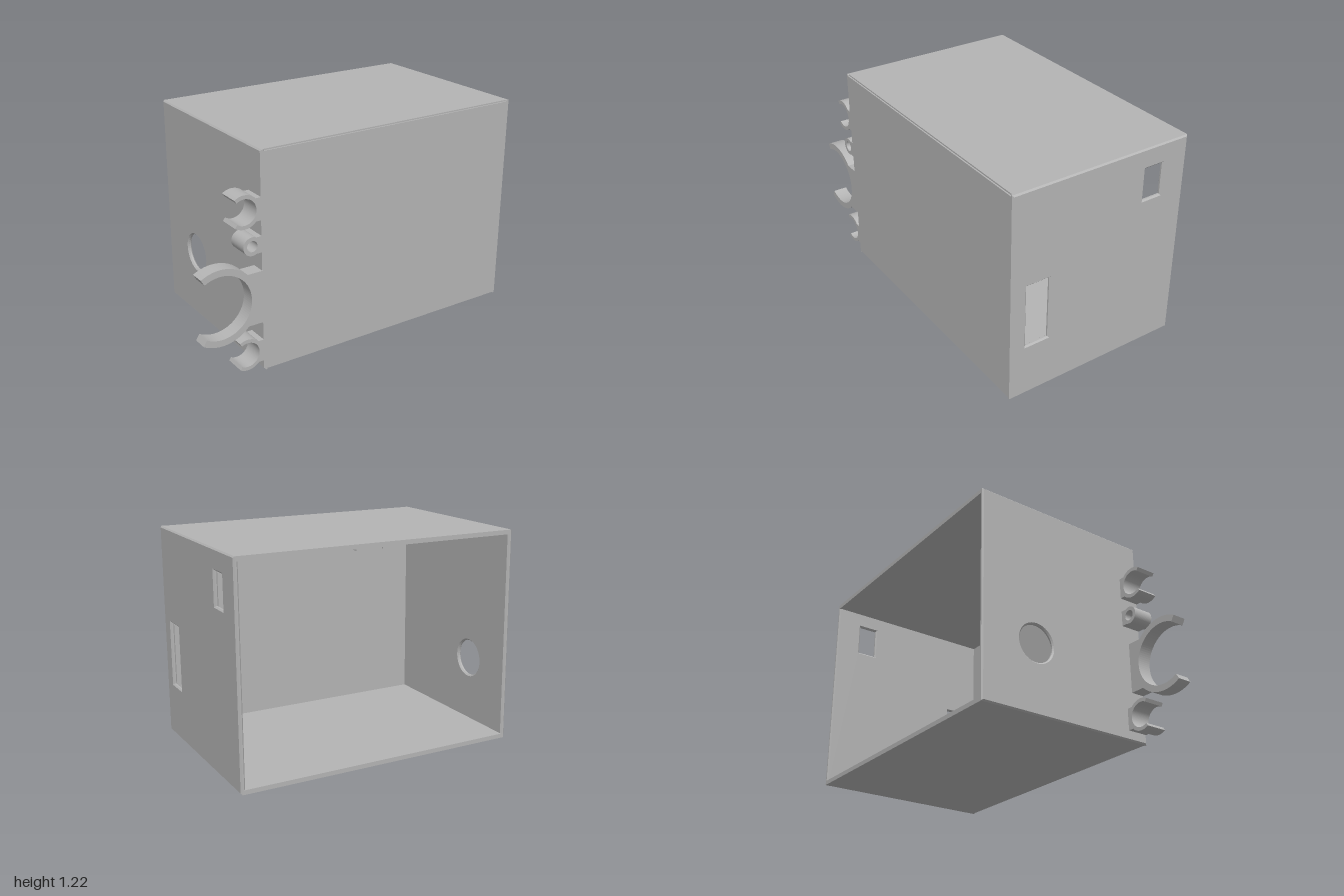
import * as THREE from 'three';

const X0 = -0.655, X1 = 1, H = 1.224, Z = 0.543, T = 0.025, B = 0.008;

export function createModel() {
  const model = new THREE.Group();
  model.name = 'wallBox';
  const grey = new THREE.MeshStandardMaterial({ color: 0xb4b4b4 });
  grey.name = 'grey plastic';

  const add = (name, geometry) => {
    const mesh = new THREE.Mesh(geometry, grey);
    mesh.name = name;
    model.add(mesh);
    return mesh;
  };
  // box given by its lower and upper limits
  const block = (name, x0, x1, y0, y1, z0, z1) =>
    add(name, new THREE.BoxGeometry(x1 - x0, y1 - y0, z1 - z0))
      .position.set((x0 + x1) / 2, (y0 + y1) / 2, (z0 + z1) / 2);

  const rect = (path, x0, x1, y0, y1) => {
    path.moveTo(x0, y0); path.lineTo(x1, y0); path.lineTo(x1, y1); path.lineTo(x0, y1);
    path.closePath();
    return path;
  };

  // side walls: profile drawn with u = -z, chamfered round the rim and the openings
  const sideWall = (name, x, holes) => {
    const shape = rect(new THREE.Shape(), -Z, Z, 0, H);
    shape.holes.push(...holes);
    const geo = new THREE.ExtrudeGeometry(shape, {
      depth: T - 2 * B, bevelThickness: B, bevelSize: B, bevelOffset: -B, bevelSegments: 1, curveSegments: 24,
    });
    geo.rotateY(Math.PI / 2);
    geo.translate(x + B, 0, 0);
    add(name, geo);
  };
  sideWall('windowWall', X1 - T, [
    rect(new THREE.Path(), -0.45, -0.31, 0.31, 0.68),
    rect(new THREE.Path(), 0.27, 0.385, 0.925, 1.11),
  ]);
  const round = new THREE.Path();
  round.absarc(0.2, 0.4, 0.107, 0, Math.PI * 2, true);
  sideWall('cableWall', X0, [round]);

  // closed front, top and floor; the back stays open
  block('frontWall', X0 + B, X1 - B, B, H - B, Z - T, Z);
  block('topWall', X0 + B, X1 - B, H - T, H, -Z, Z - B);
  block('floor', X0 + B, X1 - B, 0, T, -Z, Z - B);

  // clips on the -x side: open ring with a neck running into the wall
  const extrude = (name, shape, z0, z1) => {
    const geo = new THREE.ExtrudeGeometry(shape, { depth: z1 - z0, bevelEnabled: false, curveSegments: 32 });
    geo.translate(0, 0, z0);
    add(name, geo);
  };
  const clip = (name, cx, cy, r, R, angle, neck, z0) => {
    const a = Math.asin(neck / R), s = new THREE.Shape();
    s.absarc(cx, cy, R, -angle, -a, false);
    s.lineTo(X0 + 0.01, cy - neck);
    s.lineTo(X0 + 0.01, cy + neck);
    s.absarc(cx, cy, R, a, angle, false);
    s.absarc(cx, cy, r, angle, -angle, true);
    s.closePath();
    extrude(name, s, z0, 0.538);
  };
  clip('upperClip', -0.752, 0.917, 0.07, 0.091, 2.2, 0.062, 0.415);
  clip('lowerClip', -0.752, 0.118, 0.07, 0.09, 2.1, 0.062, 0.415);
  clip('largeClip', -0.897, 0.43, 0.177, 0.214, 2.1, 0.147, 0.455);

  // small closed ring between the clips
  const ring = new THREE.Shape(), ra = Math.asin(0.045 / 0.051);
  ring.absarc(-0.711, 0.725, 0.051, ra, Math.PI * 2 - ra, false);
  ring.lineTo(X0 + 0.01, 0.68);
  ring.lineTo(X0 + 0.01, 0.77);
  ring.closePath();
  const bore = new THREE.Path();
  bore.absarc(-0.711, 0.725, 0.03, 0, Math.PI * 2, true);
  ring.holes.push(bore);
  extrude('smallRing', ring, 0.415, 0.538);

  // holders on the inside of the front wall
  const zi = Z - T + 0.005;
  block('upperHolder', -0.07, -0.05, 1.09, 1.17, zi - 0.15, zi);
  block('upperHolderFoot', -0.12, -0.05, 1.09, 1.11, zi - 0.08, zi);
  block('rail', -0.12, -0.1, 1.03, 1.05, zi - 0.29, zi);
  block('shelf', -0.44, -0.31, 1.04, 1.06, zi - 0.25, zi);
  block('shelfLip', -0.44, -0.31, 1.02, 1.06, zi - 0.25, zi - 0.235);
  return model;
}
